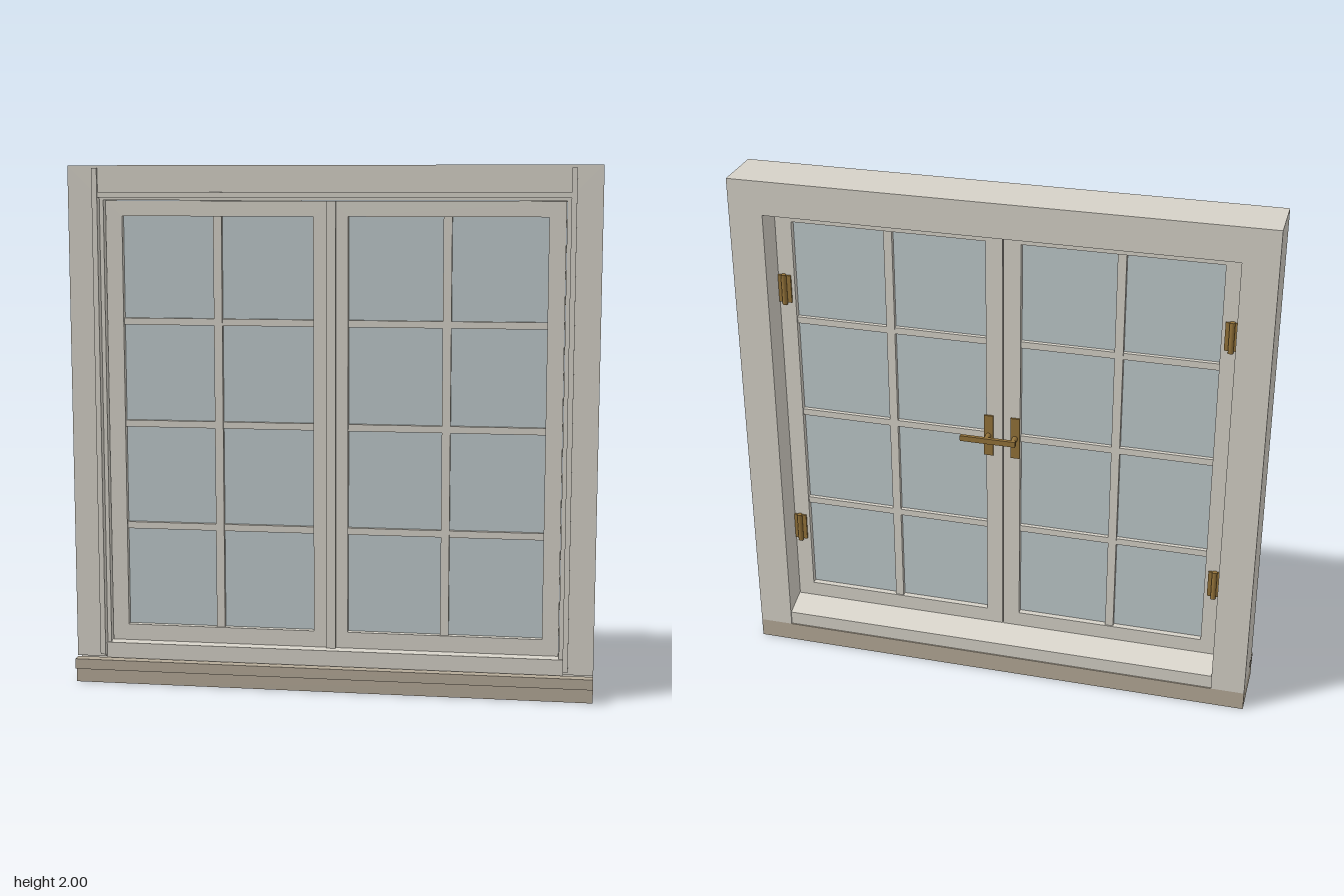
import * as THREE from 'three';

const material = (color) => new THREE.MeshStandardMaterial({ color });
const paint = material(0xd6d2c8);
const stone = material(0xb5aa98);
const glass = material(0xbfcacc);
const brass = material(0x94733a);

function add(group, name, geometry, mat) {
  const mesh = new THREE.Mesh(geometry, mat);
  mesh.name = name;
  group.add(mesh);
  return mesh;
}

// Box given by its limits on each axis
function block(group, name, [x0, x1], [y0, y1], [z0, z1], mat = paint) {
  const mesh = add(group, name, new THREE.BoxGeometry(x1 - x0, y1 - y0, z1 - z0), mat);
  mesh.position.set((x0 + x1) / 2, (y0 + y1) / 2, (z0 + z1) / 2);
  return mesh;
}

const outline = (points) => new THREE.Shape(points.map(([x, y]) => new THREE.Vector2(x, y)));
const rectangle = (x0, x1, y0, y1) => outline([[x0, y0], [x1, y0], [x1, y1], [x0, y1]]);

// Flat shape in x, y extruded from z0 to z1
function slab(shape, z0, z1) {
  return new THREE.ExtrudeGeometry(shape, { depth: z1 - z0, bevelEnabled: false }).translate(0, 0, z0);
}

// Cross-section in z, y extruded along x, centred
function moulding(points, length) {
  return slab(outline(points), -length / 2, length / 2).rotateY(-Math.PI / 2);
}

// Three-sided surround: two jambs and the head
function surround(bottom, halfOpening, openingTop, z0, z1) {
  return slab(outline([
    [-1, bottom], [-halfOpening, bottom], [-halfOpening, openingTop], [halfOpening, openingTop],
    [halfOpening, bottom], [1, bottom], [1, 2], [-1, 2],
  ]), z0, z1);
}

// One casement: frame, pane and glazing bars
function makeSash(name, x0, x1, open0, open1) {
  const sash = new THREE.Group();
  sash.name = name;
  const bottom = 0.22, top = 1.81;
  const shape = rectangle(x0, x1, 0.157, 1.868);
  shape.holes.push(rectangle(open0, open1, bottom, top));
  add(sash, 'sashFrame', slab(shape, -0.015, 0.04), paint);
  block(sash, 'glassPane', [open0, open1], [bottom, top], [0.008, 0.016], glass);
  const middle = (open0 + open1) / 2;
  block(sash, 'verticalBar', [middle - 0.016, middle + 0.016], [bottom, top], [-0.01, 0.034]);
  for (const y of [0.615, 1.015, 1.41]) {
    block(sash, 'horizontalBar', [open0, open1], [y - 0.013, y + 0.013], [-0.008, 0.032]);
  }
  return sash;
}

// Lever handle on a back plate, facing -z
function makeHandle(x) {
  const handle = new THREE.Group();
  handle.name = 'handle';
  block(handle, 'handlePlate', [-0.018, 0.018], [-0.085, 0.085], [-0.008, 0], brass);
  const spindle = add(handle, 'handleSpindle', new THREE.CylinderGeometry(0.011, 0.011, 0.045, 16), brass);
  spindle.rotation.x = Math.PI / 2;
  spindle.position.z = -0.0275;
  block(handle, 'handleLever', [-0.012, 0.1], [-0.011, 0.011], [-0.056, -0.042], brass);
  handle.position.set(x, 1.02, -0.015);
  return handle;
}

// Butt hinge with a round knuckle
function makeHinge(side, y) {
  const hinge = new THREE.Group();
  hinge.name = 'hinge';
  block(hinge, 'hingeLeaf', [-0.025, 0.025], [-0.055, 0.055], [-0.007, 0], brass);
  const knuckle = add(hinge, 'hingeKnuckle', new THREE.CylinderGeometry(0.01, 0.01, 0.12, 16), brass);
  knuckle.position.z = -0.012;
  hinge.position.set(side * 0.843, y, -0.015);
  return hinge;
}

export function createModel() {
  const model = new THREE.Group();
  model.name = 'casementWindow';

  // Stone sill with a raised front lip
  add(model, 'outerSill', moulding([
    [-0.125, 0], [0.11, 0], [0.11, 0.055], [0.125, 0.055],
    [0.125, 0.095], [0.085, 0.095], [0.085, 0.075], [-0.125, 0.075],
  ], 2), stone);

  // Surround, stepped towards the front
  add(model, 'surroundBack', surround(0.075, 0.87, 1.87, -0.125, 0.035), paint);
  add(model, 'surroundMiddle', surround(0.1, 0.87, 1.87, 0.035, 0.065), paint);
  add(model, 'surroundFront', surround(0.1, 0.885, 1.885, 0.065, 0.088), paint);

  // Beads on the jambs and head
  for (const side of [-1, 1]) {
    const x = side * 0.895;
    block(model, 'jambBead', [x - 0.01, x + 0.01], [0.11, 1.99], [0.06, 0.099]);
  }
  block(model, 'headBead', [-0.885, 0.885], [1.88, 1.9], [0.06, 0.095]);

  // Bottom rail, sloping down to the back
  add(model, 'bottomRail', moulding([
    [-0.12, 0.075], [0.065, 0.075], [0.065, 0.152], [0.045, 0.157], [-0.015, 0.16], [-0.12, 0.13],
  ], 1.74), paint);
  block(model, 'bottomRailFront', [-0.885, 0.885], [0.09, 0.153], [0.06, 0.075]);

  // Pair of casements and the strip covering their joint
  model.add(makeSash('rightSash', -0.868, -0.005, -0.805, -0.07));
  model.add(makeSash('leftSash', -0.001, 0.868, 0.062, 0.805));
  block(model, 'meetingStrip', [-0.02, 0.016], [0.157, 1.868], [0.035, 0.052]);

  // Ironmongery on the back
  for (const side of [-1, 1]) {
    model.add(makeHandle(side * 0.052));
    for (const y of [0.49, 1.54]) model.add(makeHinge(side, y));
  }
  return model;
}
